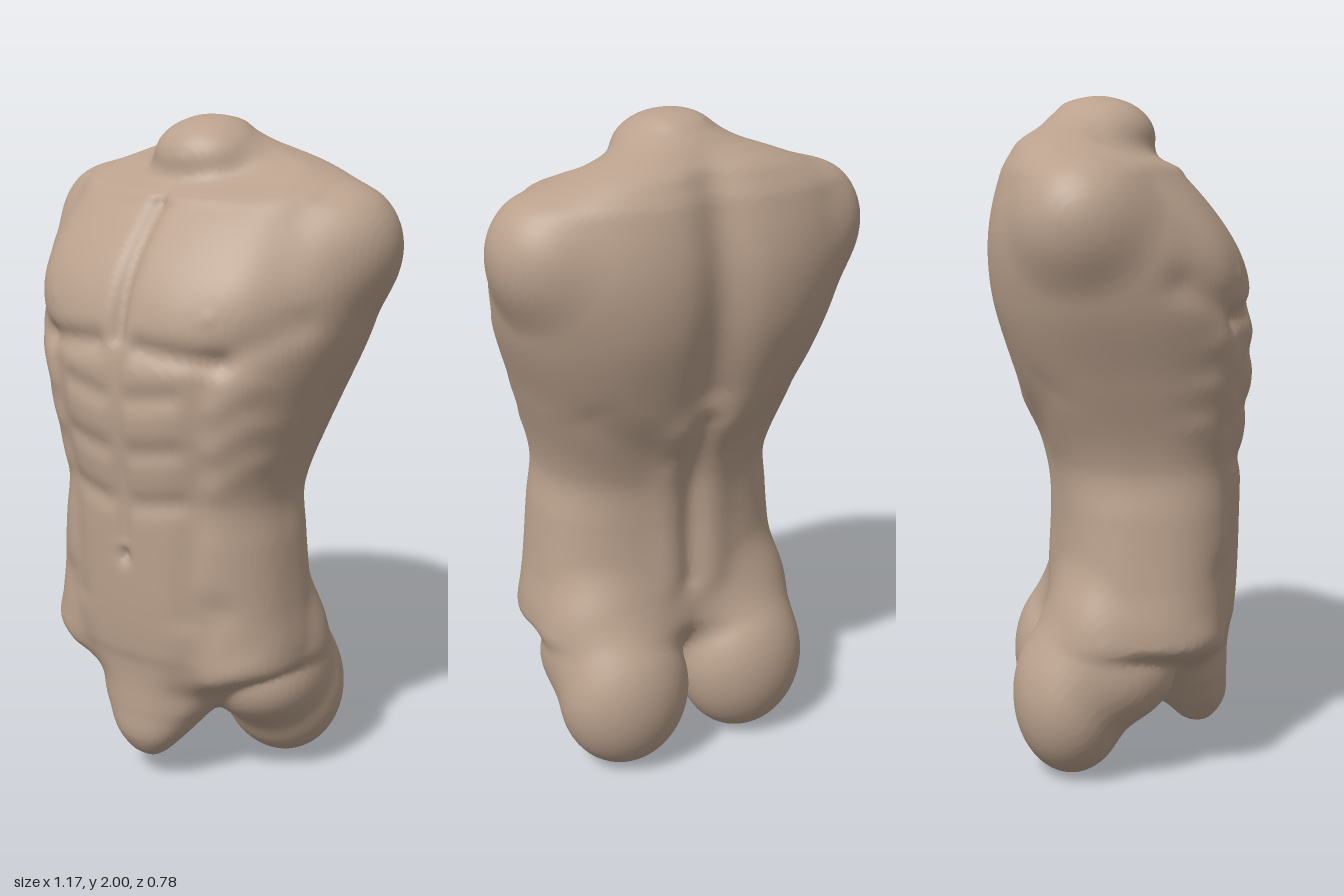
import * as THREE from 'three';

// Trunk cross-sections: height, half width, front z, back z, z of the widest point
const SECTIONS = [
  [0.06, 0.03, 0.27, 0.21, 0.25],
  [0.15, 0.11, 0.325, 0.12, 0.23],
  [0.24, 0.175, 0.33, -0.04, 0.18],
  [0.33, 0.26, 0.33, -0.13, 0.12],
  [0.41, 0.41, 0.335, -0.2, 0.08],
  [0.46, 0.425, 0.345, -0.22, 0.07],
  [0.60, 0.405, 0.355, -0.215, 0.07],
  [0.80, 0.383, 0.36, -0.208, 0.07],
  [0.95, 0.368, 0.365, -0.225, 0.06],
  [1.20, 0.44, 0.393, -0.325, 0],
  [1.42, 0.515, 0.38, -0.38, -0.06],
  [1.60, 0.54, 0.32, -0.39, -0.12],
  [1.78, 0.48, 0.175, -0.357, -0.14],
  [1.83, 0.41, 0.09, -0.335, -0.15],
  [1.88, 0.29, 0.02, -0.3, -0.15],
  [1.96, 0.05, -0.08, -0.16, -0.12],
];

// Mirrored muscle relief along short strokes: x1, y1, x2, y2, spread, height
const FRONT = [
  [0, 1.42, 0, 1.76, 0.02, -0.028],          // breastbone groove
  [0.2, 1.5, 0.32, 1.55, 0.08, 0.01],        // chest fullness
  [0.08, 1.395, 0.3, 1.375, 0.026, -0.022],  // lower chest crease
  [0.3, 1.375, 0.46, 1.47, 0.03, -0.011],    // outer chest crease
  [0.28, 1.5, 0.28, 1.5, 0.012, 0.004],      // nipple
  [0.03, 1.795, 0.4, 1.815, 0.014, 0.014],   // collarbone
  [0.17, 1.86, 0.26, 1.85, 0.035, -0.03],    // hollow above collarbone
  [0.45, 1.52, 0.4, 1.74, 0.04, -0.012],     // shoulder to chest groove
  [0, 0.82, 0, 1.37, 0.02, -0.013],          // abdominal midline
  [0.2, 0.6, 0.26, 1.3, 0.032, -0.011],      // outer abdominal groove
  [0, 0.755, 0, 0.765, 0.015, -0.022],       // navel
  [0.27, 0.62, 0.17, 0.33, 0.04, -0.014],    // groin line
  [0.37, 0.45, 0.28, 0.39, 0.03, 0.01],      // hip bone
];
const BACK = [
  [0, 0.6, 0, 1.12, 0.03, -0.016],           // lower spine groove
  [0, 1.25, 0, 1.85, 0.06, -0.034],          // upper spine groove
  [0.08, 0.6, 0.09, 1.1, 0.04, 0.01],        // long back muscle
  [0.23, 1.45, 0.24, 1.68, 0.1, 0.012],      // shoulder blade
  [0.12, 1.02, 0.33, 1.18, 0.04, -0.008],    // edge of broad back muscle
];
// Abdominal cross creases and side ribs repeat up the belly
for (let i = 0; i < 3; i++) {
  const crease = 0.93 + 0.16 * i, rib = 1 + 0.12 * i, side = 0.28 + 0.01 * i;
  FRONT.push([0.06, crease, 0.18, crease + 0.02, 0.024, -0.011]);
  FRONT.push([side, rib, side + 0.08, rib + 0.07, 0.028, 0.007]);
}

// Smooth interpolation of the section table
function section(y) {
  const t = SECTIONS, n = t.length;
  if (y <= t[0][0]) return t[0];
  if (y >= t[n - 1][0]) return t[n - 1];
  let i = 0;
  while (y > t[i + 1][0]) i++;
  const a = t[Math.max(i - 1, 0)], b = t[i], c = t[i + 1], d = t[Math.min(i + 2, n - 1)];
  const h = c[0] - b[0], u = (y - b[0]) / h, u2 = u * u, u3 = u2 * u;
  return b.map((v, k) => {
    const m0 = (c[k] - a[k]) / (c[0] - a[0]) * h, m1 = (d[k] - v) / (d[0] - b[0]) * h;
    return (2 * u3 - 3 * u2 + 1) * v + (u3 - 2 * u2 + u) * m0 + (3 * u2 - 2 * u3) * c[k] + (u3 - u2) * m1;
  });
}

function blend(a, b, k) {
  const h = Math.max(k - Math.abs(a - b), 0) / k;
  return Math.min(a, b) - h * h * k / 4;
}

function ellipsoid(x, y, z, [cx, cy, cz], [rx, ry, rz]) {
  const px = (x - cx) / rx, py = (y - cy) / ry, pz = (z - cz) / rz;
  const k0 = Math.hypot(px, py, pz), k1 = Math.hypot(px / rx, py / ry, pz / rz);
  return k1 < 1e-6 ? -Math.min(rx, ry, rz) : k0 * (k0 - 1) / k1;
}

function relief(x, y, facing) {
  const mask = THREE.MathUtils.smoothstep(Math.abs(facing), 0.1, 0.5);
  let sum = 0;
  for (const [x1, y1, x2, y2, spread, height] of facing > 0 ? FRONT : BACK) {
    const dx = x2 - x1, dy = y2 - y1, len = dx * dx + dy * dy;
    const t = len ? THREE.MathUtils.clamp(((x - x1) * dx + (y - y1) * dy) / len, 0, 1) : 0;
    const d2 = (x - x1 - t * dx) ** 2 + (y - y1 - t * dy) ** 2;
    sum += mask * height * Math.exp(-d2 / (2 * spread * spread));
  }
  return sum;
}

// Signed field of the body, negative inside
function body(xs, y, z, [, w, zf, zb, zc]) {
  const x = Math.abs(xs), dz = z - zc;
  const depth = Math.max(dz > 0 ? zf - zc : zc - zb, 0.01), n = dz > 0 ? 2.3 : 2.5;
  const q = Math.pow(Math.pow(x / Math.max(w, 0.01), n) + Math.pow(Math.abs(dz) / depth, n), 1 / n);
  const r = Math.hypot(x, dz);
  let d = q > 1e-6 ? r - r / q : -0.1;
  if (Math.abs(d) < 0.12) d -= relief(x, y, dz / depth);
  d = -blend(-d, Math.min(y - 0.07, 1.955 - y), 0.04);                                // rounded ends
  d = blend(d, ellipsoid(x, y, z, [0.44, 1.66, -0.13], [0.145, 0.16, 0.16]), 0.08);   // shoulder
  d = blend(d, ellipsoid(x, y, z, [0, 1.88, -0.06], [0.168, 0.12, 0.162]), 0.07);     // neck
  const hip = ellipsoid(x, y, z, [0.225, 0.4, -0.085], [0.185, 0.22, 0.15]);          // hip
  const seat = ellipsoid(x, y, z, [0.212, 0.243, -0.16], [0.208, 0.243, 0.175]);      // buttock
  const thigh = ellipsoid(x, y, z, [0.225, 0.325, -0.01], [0.18, 0.155, 0.16]);       // thigh stump
  const rear = blend(blend(seat, hip, 0.06), thigh, 0.08);
  return blend(d, rear, THREE.MathUtils.lerp(0.09, 0.035, THREE.MathUtils.smoothstep(z, -0.1, 0.1)));
}

// Wraps the field in a smooth quad skin
function skinGeometry() {
  const h = 0.0125, min = [-0.6625, -0.045, -0.4625], size = [107, 169, 75];
  const step = [1, size[0] * size[2], size[0]];
  const val = new Float32Array(size[0] * size[1] * size[2]);
  const each = (lo, cut, fn) => {
    for (let j = lo; j < size[1] - cut; j++)
      for (let k = lo; k < size[2] - cut; k++)
        for (let i = lo; i < size[0] - cut; i++) fn(i, j, k, i + j * step[1] + k * step[2]);
  };
  let row = -1, sec;
  each(0, 0, (i, j, k, id) => {
    const y = min[1] + j * h;
    if (j !== row) { row = j; sec = section(y); }
    val[id] = body(min[0] + i * h, y, min[2] + k * h, sec);
  });

  // One vertex per crossed cell, at the mean of its edge crossings
  const cell = new Int32Array(val.length).fill(-1), pos = [], index = [];
  each(0, 1, (i, j, k, id) => {
    const sum = [0, 0, 0];
    let count = 0;
    for (let a = 0; a < 3; a++) {
      const b = (a + 1) % 3, c = (a + 2) % 3;
      for (let e = 0; e < 4; e++) {
        const ob = e & 1, oc = e >> 1, p = id + ob * step[b] + oc * step[c];
        const v0 = val[p], v1 = val[p + step[a]];
        if (v0 < 0 === v1 < 0) continue;
        sum[a] += v0 / (v0 - v1);
        sum[b] += ob;
        sum[c] += oc;
        count++;
      }
    }
    if (!count) return;
    cell[id] = pos.length / 3;
    [i, j, k].forEach((g, a) => pos.push(min[a] + (g + sum[a] / count) * h));
  });

  // One quad per crossed grid edge
  each(1, 1, (i, j, k, id) => {
    for (let a = 0; a < 3; a++) {
      const inside = val[id] < 0;
      if (inside === val[id + step[a]] < 0) continue;
      const sb = step[(a + 1) % 3], sc = step[(a + 2) % 3];
      const quad = [cell[id - sb - sc], cell[id - sc], cell[id], cell[id - sb]];
      if (!inside) quad.reverse();
      const [p, q, r, s] = quad;
      index.push(p, q, r, p, r, s);
    }
  });

  const geometry = new THREE.BufferGeometry();
  geometry.setAttribute('position', new THREE.Float32BufferAttribute(pos, 3));
  geometry.setIndex(index);
  geometry.computeVertexNormals();
  return geometry;
}

export function createModel() {
  const clay = new THREE.MeshStandardMaterial({ color: 0xbaa18d });
  clay.name = 'clay';
  const torso = new THREE.Mesh(skinGeometry(), clay);
  torso.name = 'torso';
  const group = new THREE.Group();
  group.name = 'torsoSculpture';
  group.add(torso);
  return group;
}
